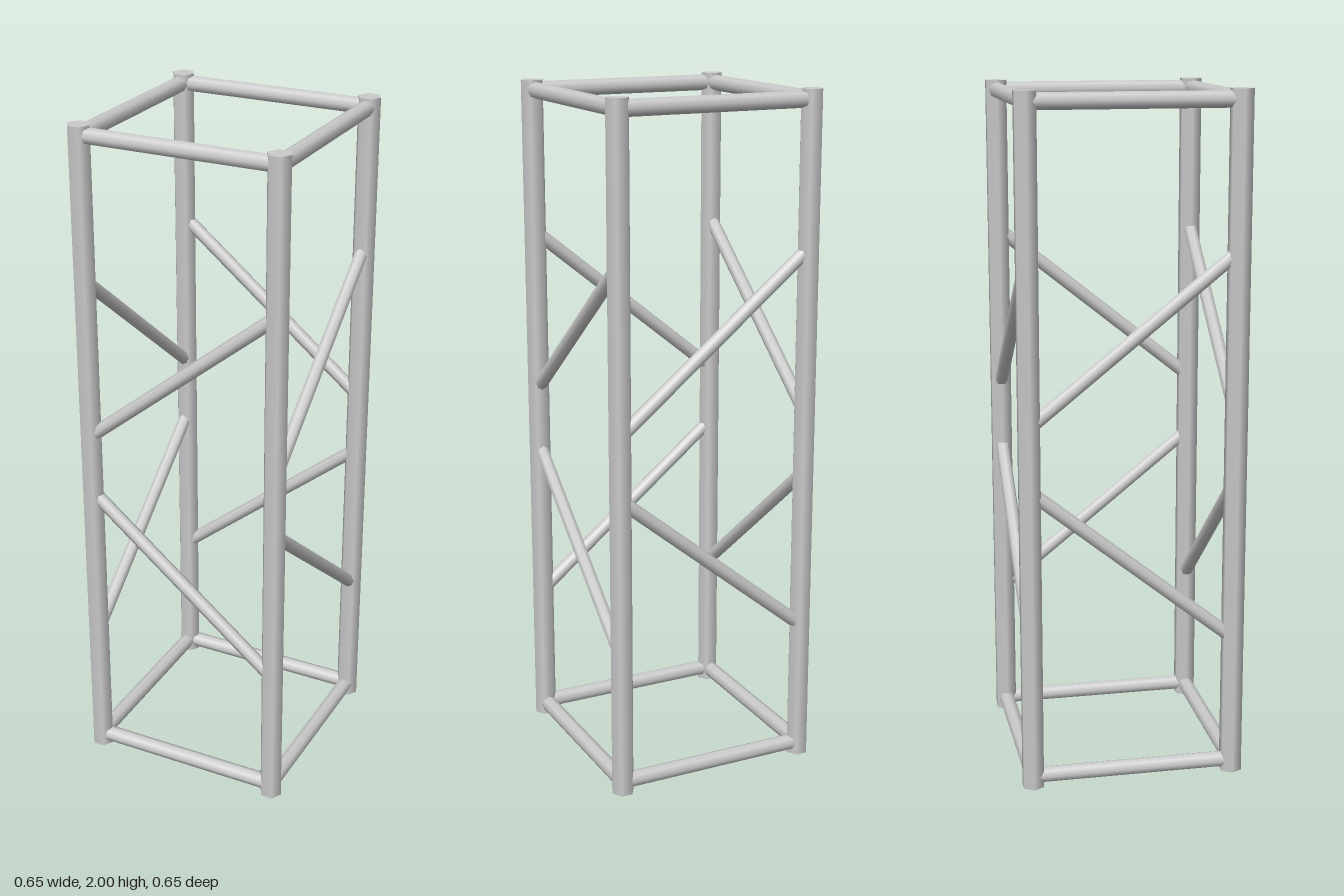
import * as THREE from 'three';

const X = 0.293, Z = 0.2975, HEIGHT = 2;
const material = new THREE.MeshStandardMaterial({ color: 0xcccccc });

// Straight tube between two points
function tube(name, a, b, radius, sides) {
  const from = new THREE.Vector3(...a), to = new THREE.Vector3(...b);
  const dir = to.clone().sub(from);
  const geometry = new THREE.CylinderGeometry(radius, radius, dir.length(), sides);
  geometry.rotateY(Math.PI / 2);
  const mesh = new THREE.Mesh(geometry, material);
  mesh.name = name;
  mesh.position.copy(from).add(to).multiplyScalar(0.5);
  mesh.quaternion.setFromUnitVectors(new THREE.Vector3(0, 1, 0), dir.normalize());
  return mesh;
}

export function createModel() {
  const tower = new THREE.Group();
  tower.name = 'trussTower';

  // Corners in order round the tower, starting at the front
  const corners = [[-X, Z], [X, Z], [X, -Z], [-X, -Z]];
  const sideNames = ['front', 'left', 'back', 'right'];

  corners.forEach(([x, z], i) => {
    const [nx, nz] = corners[(i + 1) % 4];
    const side = sideNames[i];

    // Hexagonal corner post
    tower.add(tube('cornerPost', [x, 0, z], [x, HEIGHT, z], 0.034, 6));

    // Horizontal rails at the foot and the head
    tower.add(tube(side + 'BottomRail', [x, 0.033, z], [nx, 0.033, nz], 0.0235, 8));
    tower.add(tube(side + 'TopRail', [x, 1.971, z], [nx, 1.971, nz], 0.0235, 8));

    // One falling and one rising diagonal brace per face
    tower.add(tube(side + 'LowerBrace', [x, 0.896, z], [nx, 0.418, nz], 0.02, 8));
    tower.add(tube(side + 'UpperBrace', [x, 1.079, z], [nx, 1.557, nz], 0.02, 8));
  });

  return tower;
}
